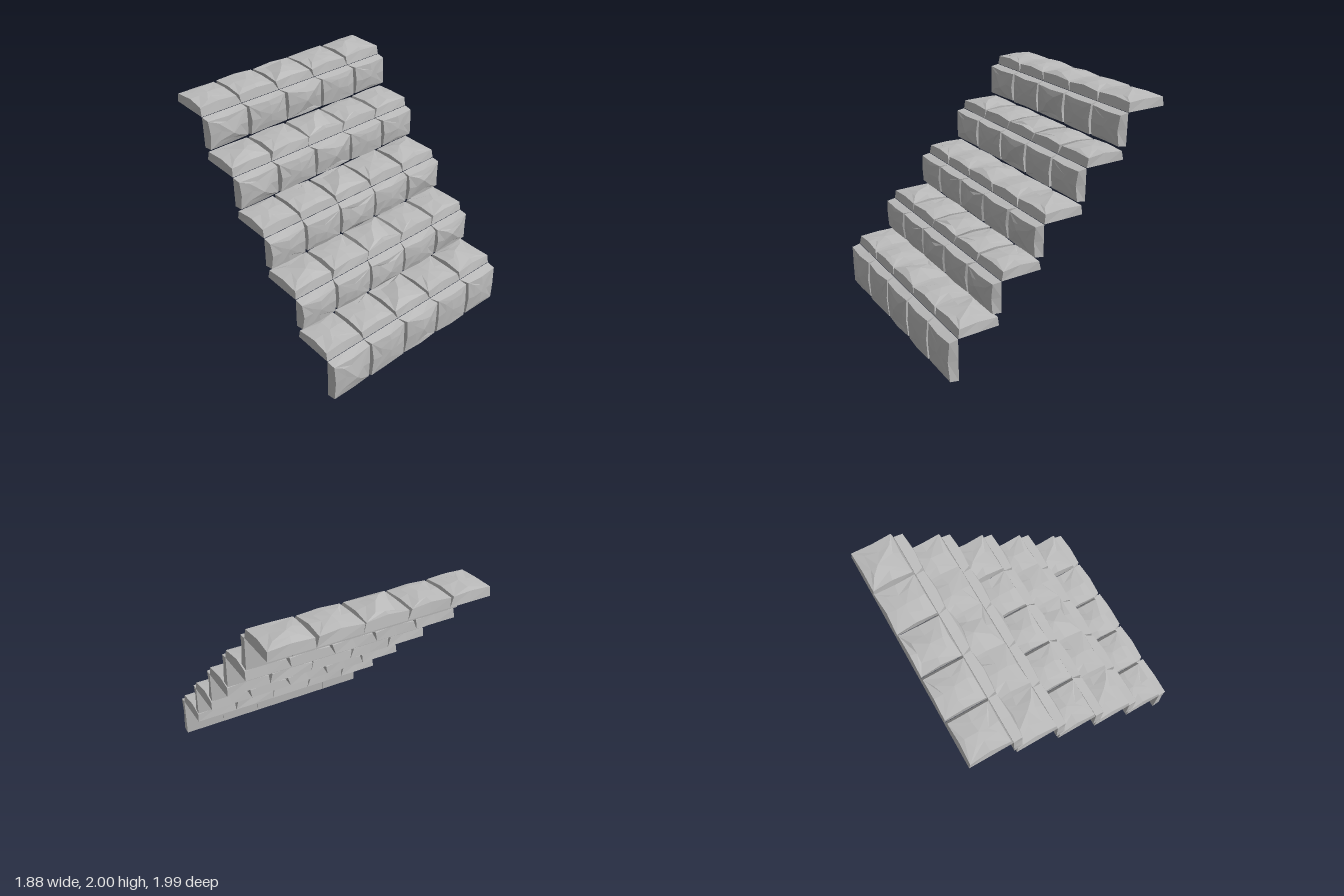
import * as THREE from 'three';

// Eight outline directions, counter-clockwise from the lower left corner
const RING = [[-1, -1], [0, -1], [1, -1], [1, 0], [1, 1], [0, 1], [-1, 1], [-1, 0]];
const ROW_HEIGHT = 0.36;
const CELL = 0.376;

// Each stone: left and right edge of its face, peak [x, y, height],
// and the heights of the inner ring of facets
const STONES = [
  { x0: -0.93, x1: -0.565, peak: [0.12, -0.22, 0.114], inner: [0.092, 0.098, 0.1, 0.098, 0.09, 0.088, 0.09, 0.094] },
  { x0: -0.535, x1: -0.175, peak: [0.05, 0.02, 0.1], inner: [0.088, 0.094, 0.087, 0.091, 0.088, 0.093, 0.09, 0.091] },
  { x0: -0.155, x1: 0.205, peak: [0.0, 0.05, 0.114], inner: [0.097, 0.086, 0.075, 0.086, 0.103, 0.1, 0.09, 0.097] },
  { x0: 0.225, x1: 0.575, peak: [-0.05, 0.05, 0.1], inner: [0.09, 0.092, 0.088, 0.092, 0.087, 0.093, 0.088, 0.09] },
  { x0: 0.597, x1: 0.933, peak: [0.0, 0.0, 0.099], inner: [0.087, 0.093, 0.089, 0.09, 0.09, 0.092, 0.086, 0.094] },
];

function seededRandom(seed) {
  return () => (seed = (seed * 16807) % 2147483647) / 2147483647;
}

// A rough-hewn block: flat back at z = 0, sloping sides, faceted front
function stoneGeometry(stone, index) {
  const random = seededRandom(1234 + index * 977);
  for (let i = 0; i < 5; i++) random();
  const jitter = (a) => (random() - 0.5) * 2 * a;
  const cx = (stone.x0 + stone.x1) / 2;
  const hx = (stone.x1 - stone.x0) / 2;
  const hy = ROW_HEIGHT / 2;
  const cellX = (index - 2) * CELL;

  const back = RING.map(([x, y]) => [cellX + x * (CELL / 2 - 0.001), y * hy, 0]);
  const edge = RING.map(([x, y], i) => {
    const middle = i % 2 === 1;
    const inset = middle ? 0.007 : 0;
    return [
      cx + x * (hx - inset) + (middle ? 0 : jitter(0.005)),
      y * (hy - 0.012 - inset) + jitter(0.004),
      (middle ? 0.083 : 0.073) + jitter(0.004),
    ];
  });
  const inner = RING.map(([x, y], i) => [
    cx + x * hx * 0.52 + jitter(0.025),
    y * hy * 0.52 + jitter(0.025),
    stone.inner[i],
  ]);
  const peak = [cx + stone.peak[0] * hx, stone.peak[1] * hy, stone.peak[2]];

  const points = [];
  const tri = (a, b, c) => points.push(...a, ...b, ...c);
  for (let i = 0; i < 8; i++) {
    const j = (i + 1) % 8;
    tri(back[i], back[j], edge[j]);
    tri(back[i], edge[j], edge[i]);
    if (i % 2) {
      tri(edge[i], edge[j], inner[i]);
      tri(edge[j], inner[j], inner[i]);
    } else {
      tri(edge[i], edge[j], inner[j]);
      tri(edge[i], inner[j], inner[i]);
    }
    tri(inner[i], inner[j], peak);
    tri(back[j], back[i], [cellX, 0, 0]);
  }
  const geometry = new THREE.BufferGeometry();
  geometry.setAttribute('position', new THREE.Float32BufferAttribute(points, 3));
  geometry.computeVertexNormals();
  return geometry;
}

export function createModel() {
  const model = new THREE.Group();
  model.name = 'stoneStairs';
  const material = new THREE.MeshStandardMaterial({ color: 0xbcbcbc });
  material.name = 'grey stone';
  const geometries = STONES.map(stoneGeometry);

  // One row of five stones; a turned row is spun half way round
  function addRow(name, height, turned) {
    const row = new THREE.Group();
    row.name = name;
    geometries.forEach((geometry, i) => {
      const mesh = new THREE.Mesh(geometry, material);
      mesh.name = 'stone' + (i + 1);
      row.add(mesh);
    });
    row.scale.y = height / ROW_HEIGHT;
    if (turned) row.rotation.z = Math.PI;
    model.add(row);
    return row;
  }

  const riserTurned = [false, true, true, false, false];
  for (let i = 0; i < 5; i++) {
    // Upright stones; the lowest row is taller
    const bottom = i ? 0.48 + 0.378 * (i - 1) : 0;
    const top = 0.373 + 0.378 * i;
    const riser = addRow('riser' + (i + 1), top - bottom, riserTurned[i]);
    riser.position.set(0, (bottom + top) / 2, 0.887 - 0.38 * i);

    // Stones to walk on
    const tread = addRow('tread' + (i + 1), 0.358, i % 2 === 0);
    tread.rotation.x = -Math.PI / 2;
    tread.position.set(0, 0.375 + 0.378 * i, 0.706 - 0.38 * i);
  }
  return model;
}
